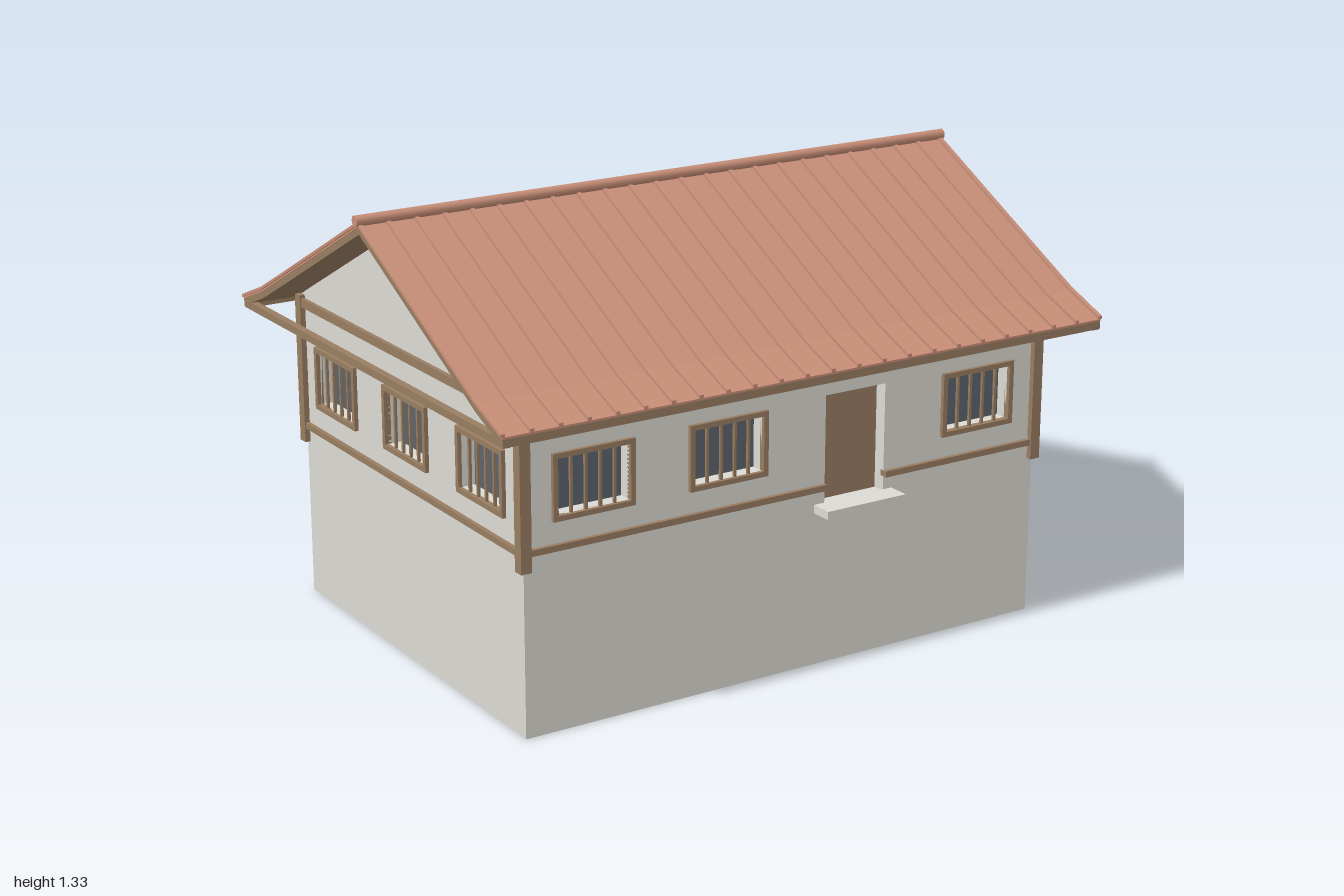
import * as THREE from 'three';

const HX = 0.86, HZ = 0.645; // wall planes
const EAVE_X = 0.99, EAVE_Z = 0.775; // roof overhang
const WIN_Y = 0.7, WIN_W = 0.255, WIN_H = 0.19, TRIM = 0.015, RECESS = 0.04;
const SPACING = 0.43;

// Half roof profile as [z, y], ridge to eave, with a gently flared foot
const PROFILE = [[0, 1.3], [0.5, 1.04], [0.64, 0.968], [EAVE_Z, 0.914]];

export function createModel() {
  const material = (name, color, side = THREE.FrontSide) => {
    const m = new THREE.MeshStandardMaterial({ color, side });
    m.name = name;
    return m;
  };
  const plaster = material('plaster', 0xdcdad3, THREE.DoubleSide);
  const timber = material('timber', 0x997d61, THREE.DoubleSide);
  const glass = material('glass', 0x5b646d, THREE.DoubleSide);
  const tile = material('roof tile', 0xc88f78);

  const house = new THREE.Group();
  house.name = 'house';

  const add = (parent, name, geometry, mat, x = 0, y = 0, z = 0) => {
    const mesh = new THREE.Mesh(geometry, mat);
    mesh.name = name;
    mesh.position.set(x, y, z);
    parent.add(mesh);
    return mesh;
  };
  const box = (parent, name, mat, w, h, d, x, y, z) =>
    add(parent, name, new THREE.BoxGeometry(w, h, d), mat, x, y, z);

  const rectPath = (PathType, w, h, x = 0, y = 0) =>
    new PathType([[-1, -1], [1, -1], [1, 1], [-1, 1]].map(
      ([a, b]) => new THREE.Vector2(x + (a * w) / 2, y + (b * h) / 2)));

  // Recessed pocket behind an opening: four reveals and a coloured back
  const pocket = (parent, name, w, h, back) => {
    const g = new THREE.BoxGeometry(w, h, RECESS);
    g.clearGroups();
    g.addGroup(0, 24, 0);
    g.addGroup(30, 6, 1);
    return add(parent, name, g, [plaster, back], 0, 0, -RECESS / 2);
  };

  const makeWindow = (parent, x) => {
    const win = new THREE.Group();
    win.name = 'window';
    win.position.set(x, WIN_Y, 0);
    parent.add(win);
    const w = WIN_W - 2 * TRIM, h = WIN_H - 2 * TRIM;
    pocket(win, 'windowPane', w, h, glass);
    const ring = rectPath(THREE.Shape, WIN_W, WIN_H);
    ring.holes.push(rectPath(THREE.Path, w, h));
    const trim = new THREE.ExtrudeGeometry(ring, { depth: 0.02, bevelEnabled: false });
    add(win, 'windowTrim', trim, timber, 0, 0, -0.008);
    for (let i = 1; i <= 4; i++)
      box(win, 'windowBar', timber, 0.008, h, 0.008, -w / 2 + (w * i) / 5, 0, 0);
  };

  // One wall sheet with its openings, sill rail and top plate
  const makeWall = (name, half, windows, doorX, gable, angle, distance) => {
    const wall = new THREE.Group();
    wall.name = name;
    wall.rotation.y = angle;
    wall.position.set(Math.sin(angle) * distance, 0, Math.cos(angle) * distance);
    house.add(wall);

    const outline = [[-half, 0], [half, 0], [half, 0.937]];
    if (gable) outline.push([0.5, 1.014], [0, 1.274], [-0.5, 1.014]);
    outline.push([-half, 0.937]);
    const shape = new THREE.Shape(outline.map(p => new THREE.Vector2(...p)));
    for (const x of windows) {
      shape.holes.push(rectPath(THREE.Path, WIN_W - 2 * TRIM, WIN_H - 2 * TRIM, x, WIN_Y));
      makeWindow(wall, x);
    }

    let rails = [[-half, half]];
    if (doorX !== null) {
      const w = 0.205, h = 0.32;
      shape.holes.push(rectPath(THREE.Path, w, h, doorX, 0.64));
      pocket(wall, 'door', w, h, timber).position.set(doorX, 0.64, -RECESS / 2);
      box(wall, 'doorStep', plaster, 0.27, 0.024, 0.07, doorX - 0.003, 0.472, 0.033);
      rails = [[-half, doorX - w / 2], [doorX + w / 2, half]];
    }
    add(wall, 'wallSheet', new THREE.ShapeGeometry(shape), plaster);
    for (const [a, b] of rails)
      box(wall, 'sillRail', timber, b - a, 0.018, 0.026, (a + b) / 2, 0.532, 0);
    box(wall, 'topPlate', timber, 2 * half, 0.026, 0.026, 0, 0.912, 0);
  };

  const four = [-1.5, -0.5, 0.5, 1.5].map(i => i * SPACING);
  const three = [-SPACING, 0, SPACING];
  makeWall('frontWall', HX, [four[0], four[1], four[3]], four[2], false, 0, HZ);
  makeWall('backWall', HX, four, null, false, Math.PI, HZ);
  makeWall('leftWall', HZ, three, null, true, Math.PI / 2, HX);
  makeWall('rightWall', HZ, three, null, true, -Math.PI / 2, HX);

  // Corner posts
  for (const sx of [-1, 1])
    for (const sz of [-1, 1])
      box(house, 'cornerPost', timber, 0.033, 0.455, 0.033, sx * HX, 0.7075, sz * HZ);

  // Roof layers: a band of given thickness following the profile, extruded along x
  const roofBand = (lift, thickness, length) => {
    const line = [...PROFILE.slice(1).reverse().map(([z, y]) => [-z, y]), ...PROFILE];
    const pts = [
      ...line.map(([z, y]) => new THREE.Vector2(z, y + lift)),
      ...line.reverse().map(([z, y]) => new THREE.Vector2(z, y + lift - thickness)),
    ];
    const g = new THREE.ExtrudeGeometry(new THREE.Shape(pts), { depth: length, bevelEnabled: false });
    return g.translate(0, 0, -length / 2).rotateY(Math.PI / 2);
  };
  add(house, 'roofDeck', roofBand(-0.006, 0.021, 2 * EAVE_X - 0.004), timber);
  add(house, 'roofTiles', roofBand(0, 0.006, 2 * EAVE_X), tile);

  // Raised ribs between the tile courses
  const rib = roofBand(0.009, 0.009, 0.013);
  const RIBS = 24;
  for (let i = 0; i < RIBS; i++)
    add(house, 'roofRib', rib, tile, -0.988 + (1.976 * i) / (RIBS - 1));

  // Ridge cap
  const ridge = new THREE.CylinderGeometry(0.016, 0.016, 2, 12).rotateZ(Math.PI / 2);
  add(house, 'ridgeCap', ridge, tile, 0, 1.312, 0);

  // Eave beams and the ties across each gable end
  for (const s of [-1, 1]) {
    box(house, 'eaveBeam', timber, 2 * EAVE_X - 0.004, 0.022, 0.022, 0, 0.895, s * 0.762);
    box(house, 'gableTie', timber, 0.022, 0.022, 1.546, s * 0.976, 0.894, 0);
  }
  return house;
}
